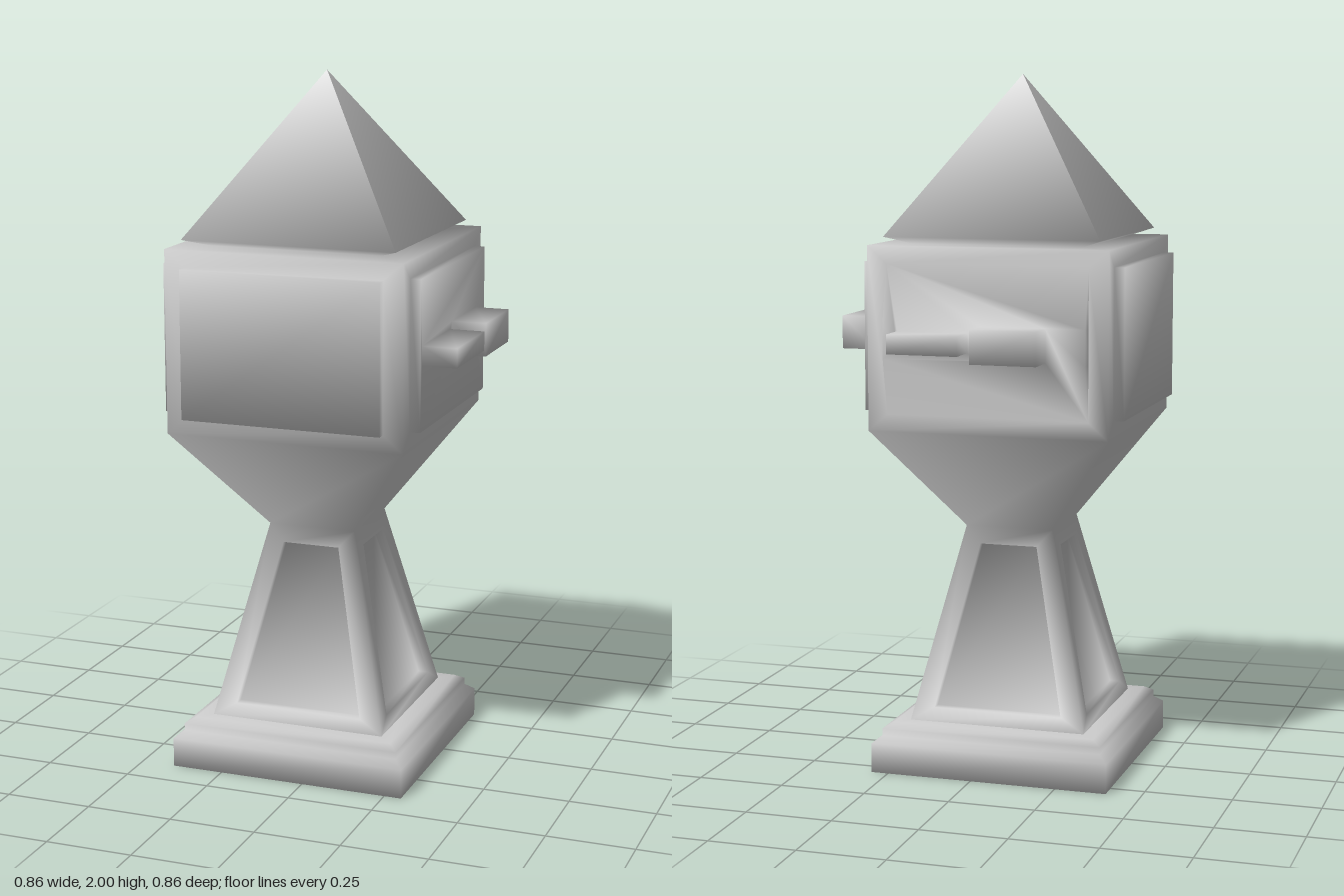
import * as THREE from 'three';

// A part is a flat list of triangle corners (Vector3), in the post's own axes
function addTriangle(part, a, b, c) {
  const area = new THREE.Vector3().subVectors(b, a).cross(new THREE.Vector3().subVectors(c, a));
  if (area.length() > 1e-7) part.push(a, b, c);
}

function addQuad(part, a, b, c, d) {
  addTriangle(part, a, b, c);
  addTriangle(part, a, c, d);
}

// Point on one of the four sides (0 front, 1 left, 2 back, 3 right):
// u runs across the side, y up and d outward
function onSide(side, u, y, d) {
  const [cos, sin] = [[1, 0], [0, 1], [-1, 0], [0, -1]][side];
  return new THREE.Vector3(u * cos + d * sin, y, d * cos - u * sin);
}

// Square rings joined up, from [half width, height] pairs
function addRings(part, profile) {
  for (let i = 0; i + 1 < profile.length; i++) {
    const [h0, y0] = profile[i];
    const [h1, y1] = profile[i + 1];
    for (let side = 0; side < 4; side++) {
      addQuad(part, onSide(side, -h0, y0, h0), onSide(side, h0, y0, h0),
        onSide(side, h1, y1, h1), onSide(side, -h1, y1, h1));
    }
  }
}

// Wall standing on a loop of [u, y] points, between two depths
function addWall(part, side, loop, from, to) {
  loop.forEach(([u, y], i) => {
    const [v, w] = loop[(i + 1) % loop.length];
    addQuad(part, onSide(side, u, y, from(y)), onSide(side, v, w, from(w)),
      onSide(side, v, w, to(w)), onSide(side, u, y, to(y)));
  });
}

// Symmetric four-cornered outline
const outline = (low, yLow, high, yHigh) =>
  [[-low, yLow], [low, yLow], [high, yHigh], [-high, yHigh]];

// A side with a flat frame and a raised or sunken panel, from which handles may stand out
function addFramedSide(part, side, { outer, inner, edge = inner, base, panel, handles = [], reach }) {
  const at = ([u, y], depth) => onSide(side, u, y, depth(y));
  for (let i = 0; i < 4; i++) {
    const j = (i + 1) % 4;
    addQuad(part, at(outer[i], base), at(outer[j], base), at(inner[j], base), at(inner[i], base));
  }
  addWall(part, side, edge, base, panel);

  const loops = handles.map(([u0, u1, y0, y1]) => [[u0, y0], [u1, y0], [u1, y1], [u0, y1]]);
  const flat = (loop) => loop.map(([u, y]) => new THREE.Vector2(u, y));
  const points = [edge, ...loops].flat();
  for (const face of THREE.ShapeUtils.triangulateShape(flat(edge), loops.map((l) => flat(l).reverse()))) {
    // Hole loops are reversed for the triangulation, so read them back reversed
    const corners = face.map((k) => {
      if (k < edge.length) return points[k];
      const n = k - edge.length;
      return loops[Math.floor(n / 4)][3 - (n % 4)];
    });
    addTriangle(part, ...corners.map((p) => at(p, panel)));
  }

  const tip = () => reach;
  for (const loop of loops) {
    addWall(part, side, loop, panel, tip);
    addQuad(part, ...loop.map((p) => at(p, tip)));
  }
}

// Smooth normals shared by all parts, weighted by corner angle; the tip of the roof stays sharp
function smoothNormals(parts) {
  const sums = new Map();
  const key = (p, face) =>
    [p.x, p.y, p.z].map((v) => Math.round(v * 1e4)).join() + (Math.hypot(p.x, p.z) < 1e-4 ? `/${face}` : '');
  const normals = parts.map((part, n) => part.map((p, i) => {
    const start = i - (i % 3);
    const q = part[start + ((i + 1) % 3)];
    const r = part[start + ((i + 2) % 3)];
    const e = q.clone().sub(p);
    const f = r.clone().sub(p);
    const name = key(p, `${n}-${start}`);
    if (!sums.has(name)) sums.set(name, new THREE.Vector3());
    const sum = sums.get(name);
    sum.addScaledVector(e.clone().cross(f).normalize(), e.angleTo(f));
    return sum;
  }));
  sums.forEach((sum) => sum.normalize());
  return normals;
}

export function createModel() {
  const base = [], pedestal = [], head = [], roof = [];

  // Stepped base
  addQuad(base, ...[[-1, -1], [1, -1], [1, 1], [-1, 1]].map(([x, z]) => new THREE.Vector3(x * 0.35, 0, z * 0.35)));
  addRings(base, [[0.35, 0], [0.35, 0.085], [0.325, 0.105], [0.325, 0.125], [0.3, 0.14], [0.2, 0.14]]);

  // Tapered pedestal with sunken panels
  const slope = (y) => 0.26 - 0.13 * (y - 0.14) / 0.56;
  for (let side = 0; side < 4; side++) {
    addFramedSide(pedestal, side, {
      outer: outline(0.26, 0.14, 0.13, 0.7),
      inner: outline(0.19, 0.18, 0.085, 0.65),
      base: slope,
      panel: (y) => slope(y) - 0.03,
    });
  }

  // Head: flaring underside, top rim and four framed sides
  addRings(head, [[0.13, 0.7], [0.35, 1.0]]);
  addRings(head, [[0.35, 1.525], [0.25, 1.525]]);
  const frame = {
    outer: outline(0.35, 1.0, 0.35, 1.525),
    inner: outline(0.293, 1.05, 0.293, 1.475),
    base: () => 0.35,
    panel: () => 0.38,
  };
  addFramedSide(head, 0, frame);
  addFramedSide(head, 3, frame);

  // Left panel with a thick and a thin handle
  addFramedSide(head, 1, {
    ...frame,
    handles: [[-0.015, 0.21, 1.215, 1.31], [-0.28, -0.03, 1.235, 1.29]],
    reach: 0.48,
  });

  // Back panel, sloping outward to a middle band with its two handles
  const bulge = [[0.293, 1.21], [0.293, 1.31]];
  const [c0, c1, c2, c3] = frame.inner;
  addFramedSide(head, 2, {
    ...frame,
    edge: [c0, c1, ...bulge, c2, c3, ...bulge.map(([u, y]) => [-u, y]).reverse()],
    panel: (y) => 0.35 + 0.035 * THREE.MathUtils.clamp(Math.min((y - 1.05) / 0.16, (1.475 - y) / 0.165), 0, 1),
    handles: [[-0.01, 0.18, 1.215, 1.31], [-0.25, -0.045, 1.235, 1.29]],
    reach: 0.475,
  });

  // Pyramid roof with a small undercut
  addRings(roof, [[0.25, 1.525], [0.315, 1.547], [0, 2.0]]);

  const model = new THREE.Group();
  model.name = 'squarePost';
  const material = new THREE.MeshStandardMaterial({ color: 0xcccccc });
  const parts = { base, pedestal, head, roof };
  const normals = smoothNormals(Object.values(parts));
  Object.entries(parts).forEach(([name, part], i) => {
    const geometry = new THREE.BufferGeometry().setFromPoints(part);
    geometry.setAttribute('normal',
      new THREE.Float32BufferAttribute(normals[i].flatMap((n) => n.toArray()), 3));
    const mesh = new THREE.Mesh(geometry, material);
    mesh.name = name;
    mesh.position.set(-0.05, 0, 0.045);
    model.add(mesh);
  });
  return model;
}
